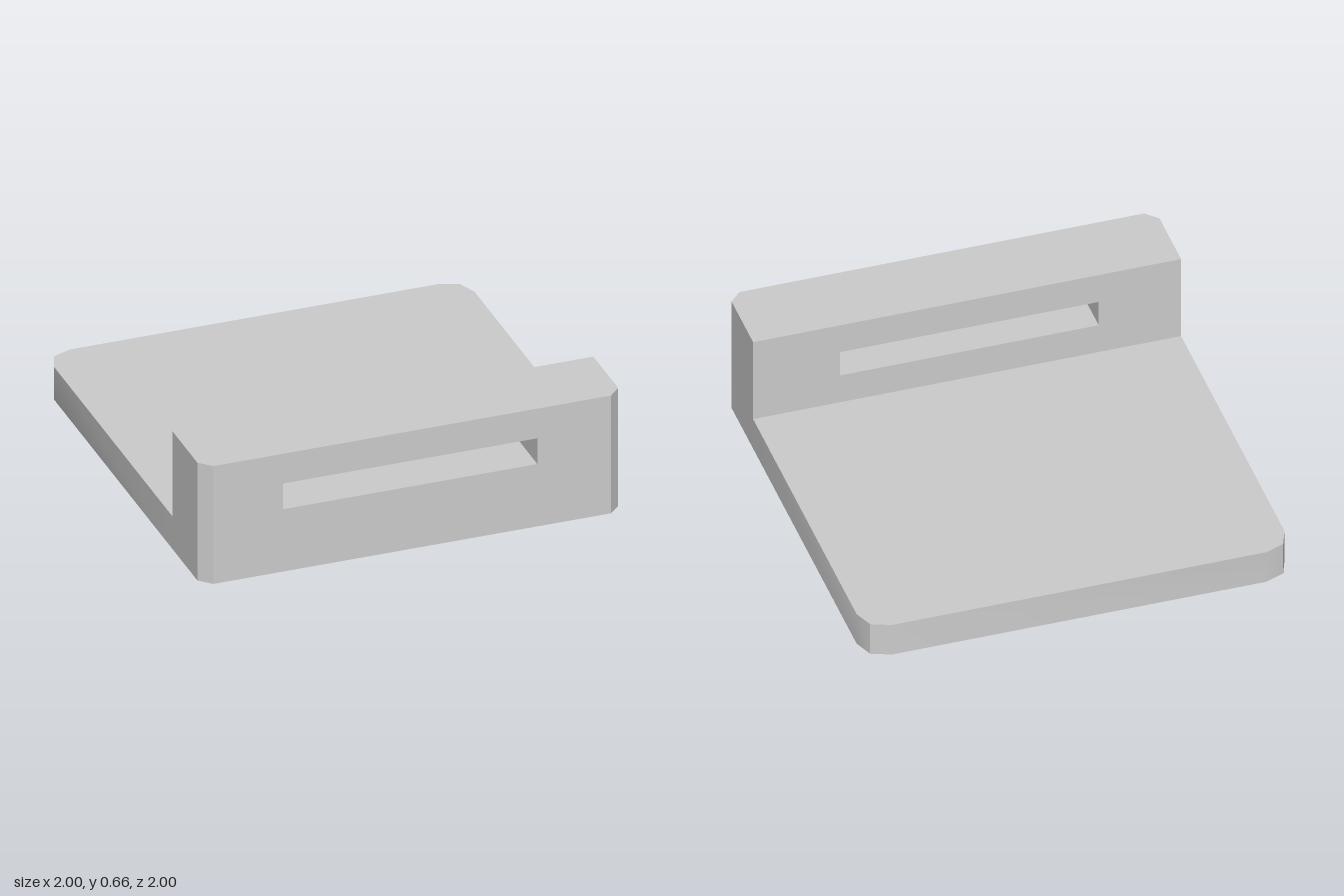
import * as THREE from 'three';
import { toCreasedNormals } from 'three/addons/utils/BufferGeometryUtils.js';

const material = new THREE.MeshStandardMaterial({ color: 0xcccccc });
const BASE = 0.065, SLAB_TOP = 0.23, TOP = 0.66, WALL_BACK = 0.63, CHAMFER = 0.055;

const outline = (pts) => pts.map(([x, y]) => new THREE.Vector2(x, y));

function add(group, name, geometry) {
  const mesh = new THREE.Mesh(toCreasedNormals(geometry, 0.5), material);
  mesh.name = name;
  group.add(mesh);
}

// Raises a plan outline of [x, z] points from y0 to y1
function raise(pts, y0, y1, hole) {
  const flip = (p) => outline(p.map(([x, z]) => [x, -z]));
  const shape = new THREE.Shape(flip(pts));
  if (hole) shape.holes.push(new THREE.Path(flip(hole)));
  return new THREE.ExtrudeGeometry(shape, { depth: y1 - y0, bevelEnabled: false })
    .rotateX(-Math.PI / 2)
    .translate(0, y0, 0);
}

// Square of half size p whose corners are cut off at q
const octagon = (p, q) => [[p, q], [q, p], [-q, p], [-p, q], [-p, -q], [-q, -p], [q, -p], [p, -q]];

export function createModel() {
  const model = new THREE.Group();
  model.name = 'slottedTray';

  // Flat slab with faceted rounded back corners
  add(model, 'slab', raise([
    [-1, WALL_BACK], [1, WALL_BACK],
    [1, -0.875], [0.965, -0.965], [0.875, -1],
    [-0.875, -1], [-0.965, -0.965], [-1, -0.875],
  ], BASE, SLAB_TOP));

  // Front wall with a slot right through it
  const inner = 1 - CHAMFER;
  const face = new THREE.Shape(outline([[-inner, BASE], [inner, BASE], [inner, TOP], [-inner, TOP]]));
  face.holes.push(new THREE.Path(outline([[-0.615, 0.38], [-0.615, 0.51], [0.595, 0.51], [0.595, 0.38]])));
  add(model, 'frontWall', new THREE.ExtrudeGeometry(face, { depth: 1 - WALL_BACK, bevelEnabled: false })
    .translate(0, 0, WALL_BACK));

  // Wall ends with chamfered front corners
  for (const s of [-1, 1]) {
    add(model, s > 0 ? 'leftWallEnd' : 'rightWallEnd', raise([
      [s * inner, WALL_BACK], [s, WALL_BACK], [s, 1 - CHAMFER], [s * inner, 1],
    ], BASE, TOP));
  }

  // Octagonal foot with a shallow recess underneath
  const recess = octagon(0.715, 0.545);
  add(model, 'footRim', raise(octagon(0.805, 0.582), 0, BASE, recess));
  add(model, 'footRecess', raise(recess, 0.03, BASE));

  return model;
}
